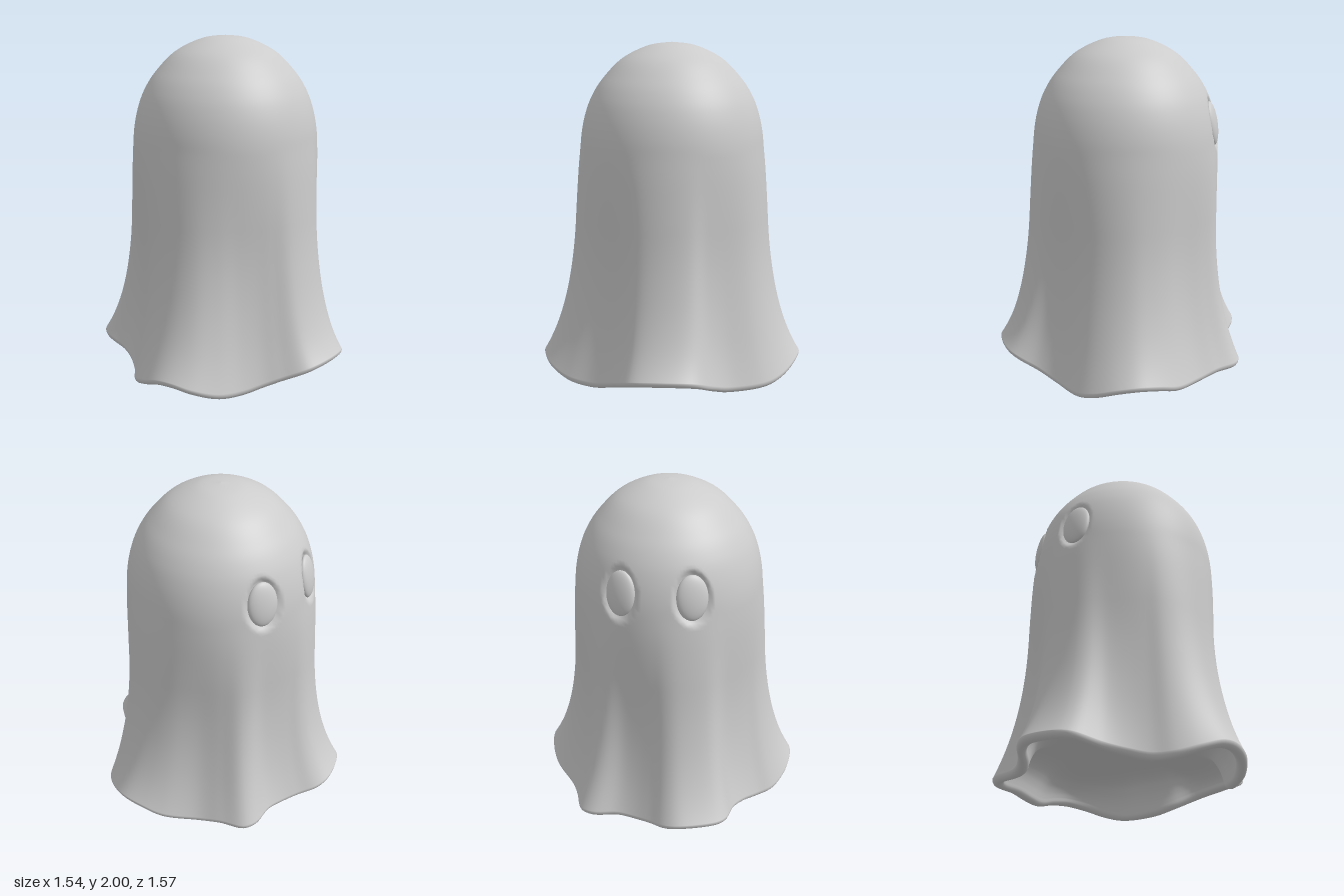
import * as THREE from 'three';

const COLS = 180;
const RIM = 0.035;
const LEAN = -0.017; // sideways shift of the head over the hem
const EYE = { angle: THREE.MathUtils.degToRad(157.5), y: 1.5, w: 0.09, h: 0.13 };

// Hem of the cloth: x, y, z, running from the left side round the front
const HEM = [
  [0.765, 0.15, 0], [0.725, 0.13, 0.19], [0.6, 0.07, 0.29], [0.52, 0.03, 0.36], [0.45, 0, 0.46],
  [0.38, 0.01, 0.6], [0.28, 0.06, 0.72], [0.18, 0.095, 0.77], [0.08, 0.095, 0.783], [-0.05, 0.05, 0.757],
  [-0.17, 0.005, 0.69], [-0.25, 0, 0.6], [-0.35, 0.03, 0.52], [-0.46, 0.06, 0.465], [-0.63, 0.1, 0.43],
  [-0.69, 0.11, 0.38], [-0.77, 0.12, 0.17], [-0.755, 0.1, 0.08], [-0.69, 0.07, -0.02],
  [-0.64, 0.05, -0.13], [-0.62, 0.05, -0.23], [-0.64, 0.05, -0.38], [-0.605, 0.045, -0.455],
  [-0.47, 0.04, -0.51], [-0.34, 0.02, -0.57], [-0.17, 0.05, -0.71], [-0.05, 0.09, -0.765],
  [0.08, 0.11, -0.788], [0.2, 0.09, -0.757], [0.32, 0.04, -0.68], [0.4, 0.01, -0.585], [0.5, 0.01, -0.37],
  [0.58, 0.05, -0.28], [0.725, 0.13, -0.18],
].map((p) => new THREE.Vector3(...p));

// Body profile: radius, height
const PROFILE = new THREE.SplineCurve([
  [0, 2], [0.14, 1.98], [0.295, 1.905], [0.41, 1.79], [0.476, 1.69], [0.516, 1.59], [0.541, 1.48],
  [0.553, 1.36], [0.562, 1.2], [0.567, 0.95], [0.566, 0.7], [0.563, 0.45], [0.56, 0.22], [0.56, 0],
].map((p) => new THREE.Vector2(...p)));

// Hollow underneath: share of the hem radius, share of the way up to the ceiling
const HOLLOW = new THREE.SplineCurve([
  [1, 0], [0.975, 0.25], [0.93, 0.5], [0.85, 0.74], [0.7, 0.9], [0.4, 0.98], [0, 1],
].map((p) => new THREE.Vector2(...p)));
const CEILING = 0.27;

// Radius and height on the outer cloth for one column of the hem
function clothPoint(hem, p) {
  const hemR = Math.hypot(hem.x, hem.z), angle = Math.atan2(hem.z, hem.x);
  const rise = Math.max(0, p.y - RIM);
  const flare = Math.max(0, 1 - rise / 0.92) ** 2;
  const fold = Math.max(0, 1 - rise / 1.37) ** 1.2;
  let r = p.x + 0.16 * flare + (hemR - 0.72) * fold;
  // Shallow sockets pressed in around the eyes
  const across = ((Math.abs(angle) - EYE.angle) * 0.54) / (EYE.w * 1.15);
  const up = (p.y - EYE.y) / (EYE.h * 1.12);
  r -= 0.035 * (1 - THREE.MathUtils.smoothstep(Math.hypot(across, up), 0.8, 1.1));
  return [r, p.y + hem.y * Math.max(0, 1 - p.y / 0.6) ** 2];
}

function createCloth() {
  const hems = new THREE.CatmullRomCurve3(HEM, true).getSpacedPoints(COLS).slice(0, COLS);
  const rows = [];

  // Outside, from the crown down to just above the hem
  for (const p of PROFILE.getSpacedPoints(110)) {
    if (p.y > RIM + 0.005) rows.push((hem) => clothPoint(hem, p));
  }
  // Thick rounded hem
  const hemPoint = new THREE.Vector2(0.56, RIM);
  for (let i = 0; i <= 10; i++) {
    const a = (i / 10) * Math.PI;
    rows.push((hem) => {
      const [r, y] = clothPoint(hem, hemPoint);
      return [r - RIM + RIM * Math.cos(a), y - RIM * Math.sin(a)];
    });
  }
  // Underside, a shallow domed hollow
  for (const p of HOLLOW.getSpacedPoints(30).slice(1)) {
    rows.push((hem) => {
      const [r, y] = clothPoint(hem, hemPoint);
      return [(r - 2 * RIM) * p.x, y + (CEILING - y) * p.y];
    });
  }

  const positions = [], index = [];
  rows.forEach((row, i) => {
    hems.forEach((hem, j) => {
      const [r, y] = row(hem), angle = Math.atan2(hem.z, hem.x);
      const shift = LEAN * THREE.MathUtils.smoothstep(y, 0.3, 1.4);
      positions.push(r * Math.cos(angle) + shift, Math.max(0, y), r * Math.sin(angle));
      if (i === rows.length - 1) return;
      const a = i * COLS + j, b = i * COLS + ((j + 1) % COLS);
      index.push(a, b, a + COLS, b, b + COLS, a + COLS);
    });
  });
  const geometry = new THREE.BufferGeometry();
  geometry.setAttribute('position', new THREE.Float32BufferAttribute(positions, 3));
  geometry.setIndex(index);
  geometry.computeVertexNormals();
  return geometry;
}

export function createModel() {
  const group = new THREE.Group();
  group.name = 'ghost';
  const material = new THREE.MeshStandardMaterial({ color: 0xcccccc });

  const cloth = new THREE.Mesh(createCloth(), material);
  cloth.name = 'clothBody';
  group.add(cloth);

  // Oval eyes, sunk in their sockets and leaning back with the head
  const eyeGeometry = new THREE.SphereGeometry(1, 32, 24).scale(EYE.w, EYE.h, 0.035);
  for (const side of [1, -1]) {
    const eye = new THREE.Mesh(eyeGeometry, material);
    eye.name = side > 0 ? 'frontEye' : 'backEye';
    const nx = Math.cos(EYE.angle), nz = side * Math.sin(EYE.angle);
    eye.position.set(nx * 0.515 + LEAN, EYE.y, nz * 0.515);
    eye.rotation.set(-0.16, Math.atan2(nx, nz), 0, 'YXZ');
    group.add(eye);
  }
  return group;
}
